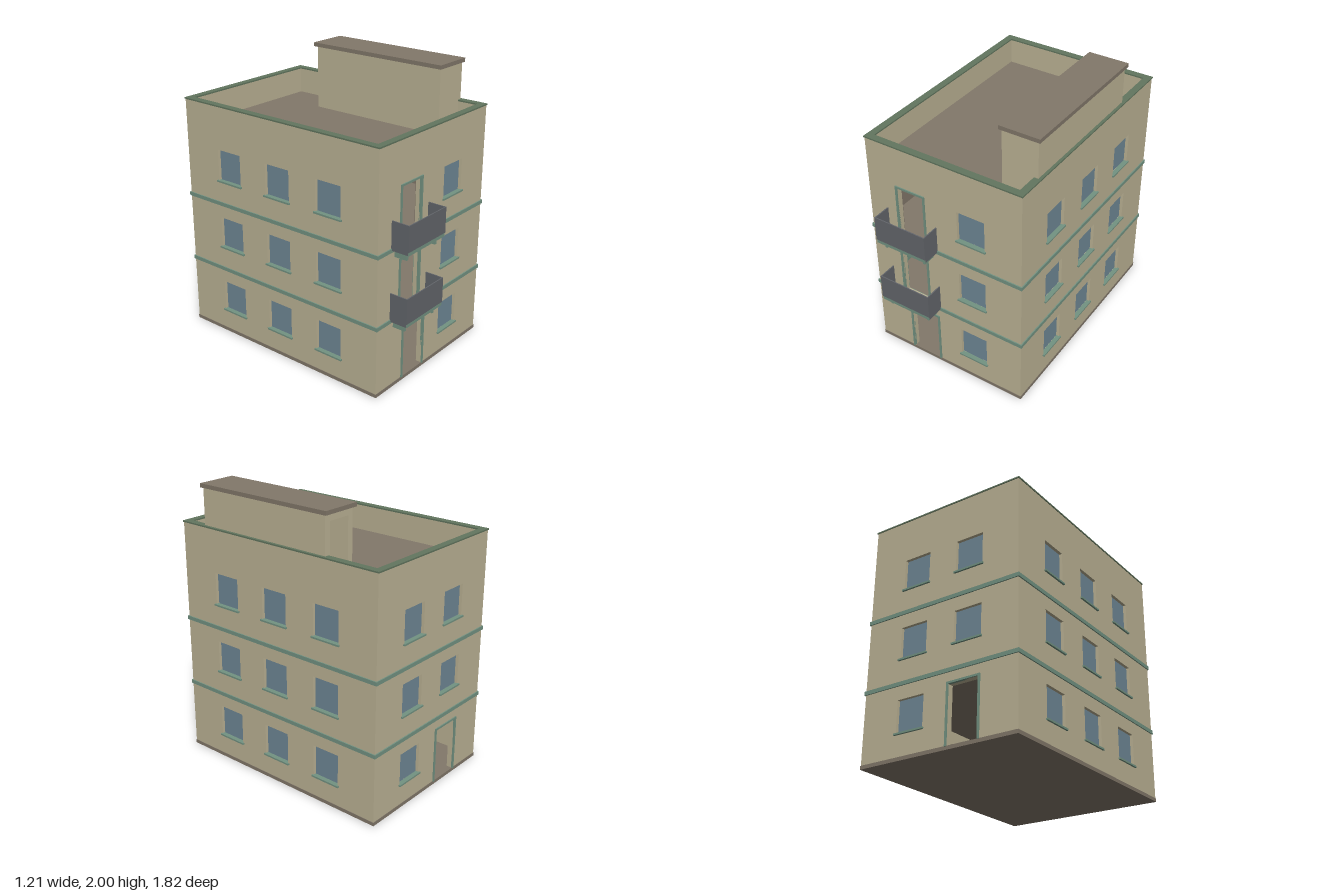
import * as THREE from 'three';

const material = (name, color) => {
  const m = new THREE.MeshStandardMaterial({ color });
  m.name = name;
  return m;
};
const plaster = material('sand plaster', 0xbcb395);
const brown = material('brown concrete', 0x82786a);
const green = material('green trim', 0x739382);
const darkGreen = material('dark green coping', 0x62765f);
const glass = material('blue glass', 0x6f8896);
const grey = material('grey railing', 0x63666b);

// Main dimensions
const HX = 0.59, ZF = 0.777, ZB = -0.897, T = 0.04;
const FLOOR = 0.5, SLAB_TOP = 0.022, WALL_TOP = 1.705;
const LENGTH = ZF - ZB;

function add(parent, name, geometry, mat) {
  const mesh = new THREE.Mesh(geometry, mat);
  mesh.name = name;
  parent.add(mesh);
  return mesh;
}

// Box given by its limits on each axis
function block(parent, name, mat, x0, x1, y0, y1, z0, z1) {
  const mesh = add(parent, name, new THREE.BoxGeometry(x1 - x0, y1 - y0, z1 - z0), mat);
  mesh.position.set((x0 + x1) / 2, (y0 + y1) / 2, (z0 + z1) / 2);
  return mesh;
}

function rect(target, x0, x1, y0, y1) {
  target.moveTo(x0, y0);
  target.lineTo(x1, y0);
  target.lineTo(x1, y1);
  target.lineTo(x0, y1);
  target.closePath();
  return target;
}

// Upright panel with rectangular openings, its outer face at z = front
function panel(parent, name, mat, [x0, x1, y0, y1], openings, front, depth) {
  const shape = rect(new THREE.Shape(), x0, x1, y0, y1);
  for (const o of openings) shape.holes.push(rect(new THREE.Path(), ...o));
  const geometry = new THREE.ExtrudeGeometry(shape, { depth, bevelEnabled: false });
  geometry.translate(0, 0, front - depth);
  return add(parent, name, geometry, mat);
}

// Flat rectangular ring around the building
function ring(parent, name, mat, out, inset, y0, y1) {
  const shape = rect(new THREE.Shape(), -HX - out, HX + out, -ZF - out, -ZB + out);
  shape.holes.push(rect(new THREE.Path(), -HX + inset, HX - inset, -ZF + inset, -ZB - inset));
  const geometry = new THREE.ExtrudeGeometry(shape, { depth: y1 - y0, bevelEnabled: false });
  geometry.rotateX(-Math.PI / 2).translate(0, y0, 0);
  return add(parent, name, geometry, mat);
}

// One facade in local coordinates: x along it, +z outwards
function facade(parent, name, halfWidth, windows, doors) {
  const wall = new THREE.Group();
  wall.name = name;
  parent.add(wall);
  const openings = [];

  for (const [c, floor] of windows) {
    const y = floor * FLOOR, o = [c - 0.104, c + 0.104, y + 0.178, y + 0.4];
    openings.push(o);
    block(wall, 'windowPane', glass, o[0], o[1], o[2], o[3], -0.03, -0.022);
    block(wall, 'windowSill', green, c - 0.114, c + 0.114, y + 0.168, y + 0.18, -0.02, 0.013);
  }

  for (const [c, floor, half, height] of doors) {
    const y = floor * FLOOR + SLAB_TOP, top = floor * FLOOR + height;
    openings.push([c - half, c + half, y, top]);
    const f = 0.014;
    for (const s of [-1, 1]) {
      const a = c + s * half, b = c + s * (half + f);
      block(wall, 'doorJamb', green, Math.min(a, b), Math.max(a, b), y, top + f, -0.01, 0.008);
    }
    block(wall, 'doorHead', green, c - half, c + half, top, top + f, -0.01, 0.008);
  }

  panel(wall, 'outerWall', plaster, [-halfWidth, halfWidth, 0.01, WALL_TOP], openings, 0, T);

  // Painted inner faces of the upper rooms
  [green, brown].forEach((mat, i) => {
    const y0 = (i + 1) * FLOOR, y1 = y0 + FLOOR;
    const holes = openings.filter((o) => o[2] > y0 && o[3] < y1);
    const w = halfWidth - 0.001;
    panel(wall, 'roomPaint', mat, [-w, w, y0 + 0.003, y1 - 0.003], holes, -T, 0.003);
  });
  return wall;
}

function balcony(parent, y) {
  const g = new THREE.Group();
  g.name = 'balcony';
  g.position.y = y;
  parent.add(g);
  const x0 = -0.455, x1 = -0.055, z1 = 0.91;
  block(g, 'balconyFloor', green, x0 + 0.005, x1 - 0.005, 0.003, 0.03, ZF, z1 - 0.002);
  block(g, 'frontRail', grey, x0, x1, 0.028, 0.207, z1 - 0.008, z1);
  for (const x of [x0, x1 - 0.008]) {
    block(g, 'sideRail', grey, x, x + 0.008, 0.006, 0.207, ZF, z1 - 0.008);
  }
  for (const x of [-0.41, -0.1]) {
    block(g, 'balconyBracket', green, x - 0.009, x + 0.009, -0.05, 0.004, ZF, 0.87);
  }
}

function stairHouse(parent) {
  const g = new THREE.Group();
  g.name = 'stairHouse';
  parent.add(g);
  const x0 = 0.318, x1 = 0.575, z0 = -0.48, z1 = 0.58, y0 = 1.5, y1 = 1.972, t = 0.032;
  block(g, 'stairHouseSide', plaster, x0, x0 + t, y0, y1, z0 + t, z1 - t);
  block(g, 'stairHouseSide', plaster, x1 - t, x1, y0, y1, z0 + t, z1 - t);
  block(g, 'stairHouseFront', plaster, x0, x1, y0, y1, z1 - t, z1);
  panel(g, 'stairHouseDoorWall', plaster, [x0, x1, y0, y1], [[0.36, 0.533, 1.52, 1.925]], z0 + t, t);
  block(g, 'stairHouseRoof', brown, 0.3, 0.59, y1, 2, -0.498, 0.593);
}

export function createModel() {
  const model = new THREE.Group();
  model.name = 'apartmentBuilding';

  // Base, floors and flat roof
  block(model, 'base', brown, -HX - 0.003, HX + 0.003, 0, 0.025, ZB - 0.003, ZF + 0.003);
  for (const i of [1, 2, 3]) {
    const y = i * FLOOR;
    block(model, i < 3 ? 'floorSlab' : 'flatRoof', brown,
      -HX + T, HX - T, y - 0.005, y + SLAB_TOP, ZB + T, ZF - T);
  }

  // Facades
  const storeys = [0, 1, 2];
  const doorX = -0.195;
  const frontWindows = storeys.map((f) => [0.213, f]);
  const balconyDoors = [1, 2].map((f) => [-0.253, f, 0.102, 0.403]);
  const front = facade(model, 'frontFacade', HX, frontWindows,
    [[doorX, 0, 0.111, 0.415], ...balconyDoors]);
  front.position.z = ZF;

  const backWindows = [[-0.213, 0], [-0.213, 1], [-0.213, 2], [0.213, 1], [0.213, 2]];
  const back = facade(model, 'backFacade', HX, backWindows, [[-doorX, 0, 0.111, 0.415]]);
  back.position.z = ZB;
  back.rotation.y = Math.PI;

  const middle = (ZF + ZB) / 2;
  for (const s of [-1, 1]) {
    const windows = [];
    for (const f of storeys) {
      for (const z of [0.38, -0.055, -0.495]) windows.push([-s * (z - middle), f]);
    }
    const side = facade(model, s > 0 ? 'leftFacade' : 'rightFacade', LENGTH / 2 - T, windows, []);
    side.position.set(s * HX, 0, middle);
    side.rotation.y = s * Math.PI / 2;
  }

  // Trim bands and parapet coping
  for (const i of [1, 2]) ring(model, 'floorBand', green, 0.008, 0.002, i * FLOOR - 0.007, i * FLOOR + 0.02);
  ring(model, 'parapetCoping', darkGreen, 0.005, 0.045, WALL_TOP, 1.715);

  for (const i of [1, 2]) balcony(model, i * FLOOR);
  stairHouse(model);
  return model;
}
